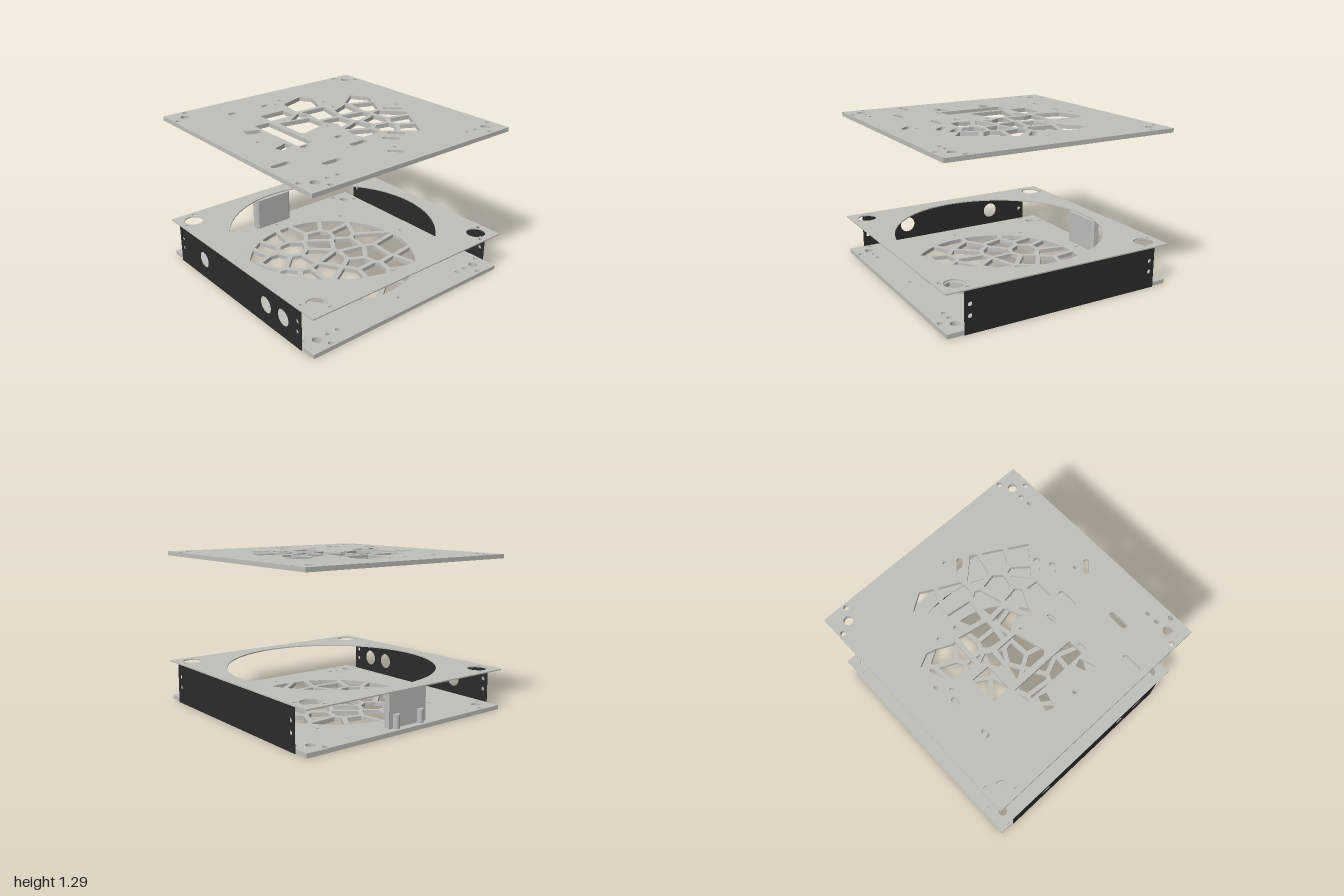
import * as THREE from 'three';

const grey = new THREE.MeshStandardMaterial({ color: 0xc0c0bb });
grey.name = 'lightGrey';
const black = new THREE.MeshStandardMaterial({ color: 0x2b2b2b });
black.name = 'black';

// ---- outline helpers ----
const pairs = (n) => Array.from({ length: n.length / 2 }, (_, i) => [n[2 * i], n[2 * i + 1]]);
const path = (pts) => new THREE.Path(pts.map(([x, y]) => new THREE.Vector2(x, y)));
const poly = (...n) => path(pairs(n));
const rect = (x0, y0, x1, y1) => poly(x0, y0, x1, y0, x1, y1, x0, y1);
const circle = (x, y, r) => new THREE.Path().absarc(x, y, r, 0, Math.PI * 2, true);
const slot = (x, y, length, angle, r = 0.025) => {
  const dx = Math.cos(angle) * length / 2, dy = Math.sin(angle) * length / 2;
  const p = new THREE.Path();
  p.absarc(x + dx, y + dy, r, angle - Math.PI / 2, angle + Math.PI / 2, false);
  p.absarc(x - dx, y - dy, r, angle + Math.PI / 2, angle + Math.PI * 1.5, false);
  p.closePath();
  return p;
};
const fourWay = (x, y, r) => [[1, 1], [-1, 1], [1, -1], [-1, -1]].map(([i, j]) => circle(x * i, y * j, r));
const ringPoints = (radius, count) => Array.from({ length: count }, (_, i) => {
  const a = (i / count) * Math.PI * 2;
  return [radius * Math.cos(a), radius * Math.sin(a)];
});

function extrude(outline, holes, depth) {
  const shape = new THREE.Shape(outline.getPoints());
  shape.holes = holes;
  return new THREE.ExtrudeGeometry(shape, { depth, bevelEnabled: false, curveSegments: 24 });
}

// Horizontal plate: outline y becomes z, thickness runs down from top
function plate(name, outline, holes, top, thick) {
  const mesh = new THREE.Mesh(extrude(outline, holes, thick).rotateX(Math.PI / 2), grey);
  mesh.name = name;
  mesh.position.y = top;
  return mesh;
}

// Keep the part of a polygon on the near side of a line through (mx, my) with normal (nx, ny)
function clip(pts, mx, my, nx, ny) {
  const out = [];
  const d = (p) => (p[0] - mx) * nx + (p[1] - my) * ny;
  pts.forEach((p, i) => {
    const q = pts[(i + 1) % pts.length], a = d(p), b = d(q);
    if (a <= 0) out.push(p);
    if (a * b < 0) {
      const t = a / (a - b);
      out.push([p[0] + (q[0] - p[0]) * t, p[1] + (q[1] - p[1]) * t]);
    }
  });
  return out;
}

// Cellular vent: an outline split into one opening per seed, with ribs between them
function ventCells(outline, seeds, rib) {
  const cells = seeds.map((p) => seeds.reduce((cell, q) => {
    if (q === p) return cell;
    const dx = q[0] - p[0], dy = q[1] - p[1], l = Math.hypot(dx, dy);
    const k = 0.5 - rib / 2 / l;
    return clip(cell, p[0] + dx * k, p[1] + dy * k, dx / l, dy / l);
  }, outline));
  return cells.filter((c) => c.length > 2).map(path);
}

// Jittered spiral of seeds for the round vent
function spiralSeeds(radius, count) {
  let s = 11;
  const jitter = () => ((s = (s * 16807) % 2147483647) / 2147483647 - 0.5) * 0.13;
  return Array.from({ length: count }, (_, i) => {
    const r = radius * Math.sqrt((i + 0.5) / count), a = i * 2.39996;
    return [r * Math.cos(a) + jitter(), r * Math.sin(a) + jitter()];
  });
}

// Corner and side holes shared by the outer plates
const mountingHoles = () => [
  ...fourWay(0.86, 0.86, 0.037), ...fourWay(0.805, 0.955, 0.021), ...fourWay(0.955, 0.805, 0.021),
  ...[-0.75, -0.66, 0.66, 0.75].map((z) => circle(0.855, z, 0.018)),
];

// Winged cellular opening of the top plate
function topVent() {
  const outline = pairs([
    -.45, -.58, -.31, -.67, -.18, -.6, -.02, -.52, .03, -.49, .19, -.64, .6, -.4, .42, -.18, .42, .04,
    .34, .07, .19, .03, .06, 0, -.03, .06, -.13, .05, -.27, .03, -.42, .07, -.62, .03, -.7, -.2,
    -.6, -.25, -.52, -.23, -.4, -.17, -.35, -.2, -.2, -.18, -.28, -.37, -.32, -.41,
  ]);
  const seeds = pairs([
    -.32, -.56, -.13, -.49, .14, -.51, .32, -.47, .48, -.38, -.16, -.27, .02, -.24,
    .18, -.29, .37, -.25, .21, -.11, .35, -.04, .04, -.04, -.2, -.07, -.53, -.08,
  ]);
  return ventCells(outline, seeds, 0.04);
}

// Windows, slots and pin holes of the top plate
function topCutouts() {
  const holes = [
    rect(-.485, .14, -.33, .37), rect(-.31, .41, .26, .545),
    poly(-.35, .08, -.28, .05, -.23, .08, -.24, .24),
    poly(-.19, .09, 0, .09, .07, .33, .04, .36, -.24, .36),
  ];
  for (const s of [-1, 1]) holes.push(poly(.22 * s, .565, .15 * s, .585, .19 * s, .705, .26 * s, .685));
  holes.push(
    slot(.06, -.615, .12, -.84), slot(.517, -.217, .09, -.78),
    slot(.577, -.105, .09, -.75), slot(.795, .055, .085, -.78, .022),
  );
  for (const [x, z] of [[.49, .15], [.65, .542], [.47, .855]]) holes.push(slot(x, z, .115, Math.PI / 2));
  for (const x of [-.69, .29]) for (const z of [.18, .51]) holes.push(slot(x, z, .036, Math.PI / 2, .02));
  for (const [x, z] of [[-.455, -.275], [-.3, -.26], [-.65, .09], [.055, .09]]) holes.push(circle(x, z, .015));
  for (const [x, z] of ringPoints(.725, 4)) holes.push(circle(x, z, .015));
  return holes;
}

// Upright panel at the front or back
function panel(name, z, portHoles) {
  const holes = portHoles.map((x) => circle(x, 0.17, 0.07));
  for (const x of [-0.815, 0.81]) for (const y of [0.14, 0.23]) holes.push(circle(x, y, 0.018));
  const mesh = new THREE.Mesh(extrude(rect(-0.86, 0, 0.855, 0.335), holes, 0.008), black);
  mesh.name = name;
  mesh.position.z = z;
  return mesh;
}

// Slotted holder with two screw posts
function holder() {
  const g = new THREE.Group();
  g.name = 'sideHolder';
  g.add(plate('holderBody',
    poly(-.865, -.165, -.865, .175, -.88, .195, -.93, .195, -.93, -.185, -.88, -.185),
    [rect(-.918, -.165, -.905, .175)], 0.32, 0.285));
  for (const z of [-0.12, 0.13]) {
    const post = new THREE.Mesh(new THREE.CylinderGeometry(0.028, 0.028, 0.11, 24), grey);
    post.name = 'holderPost';
    post.position.set(-0.937, 0.09, z);
    g.add(post);
  }
  return g;
}

export function createModel() {
  const model = new THREE.Group();
  model.name = 'ventedEnclosure';
  const square = (h) => rect(-h, -h, h, h);

  // Base with the round cellular vent and a ring of screw holes
  const screws = ringPoints(0.83, 8).map(([x, z]) => circle(x, z, 0.015));
  const roundVent = ventCells(ringPoints(0.72, 72), spiralSeeds(0.72, 36), 0.042);
  model.add(plate('basePlate', square(0.99), [...mountingHoles(), ...screws, ...roundVent], 0.035, 0.035));

  // Thin middle plate with one large opening
  model.add(plate('middlePlate', square(1), [
    circle(0, 0, 0.88), ...fourWay(0.86, 0.86, 0.08),
    ...fourWay(0.805, 0.955, 0.016), ...fourWay(0.955, 0.805, 0.016),
  ], 0.345, 0.01));

  // Raised top plate with cutouts
  model.add(plate('topPlate', square(0.99), [...mountingHoles(), ...topVent(), ...topCutouts()], 1.292, 0.034));

  model.add(panel('frontPanel', 0.991, [-0.475, 0.415, 0.635]));
  model.add(panel('backPanel', -0.999, []));
  model.add(holder());
  return model;
}
